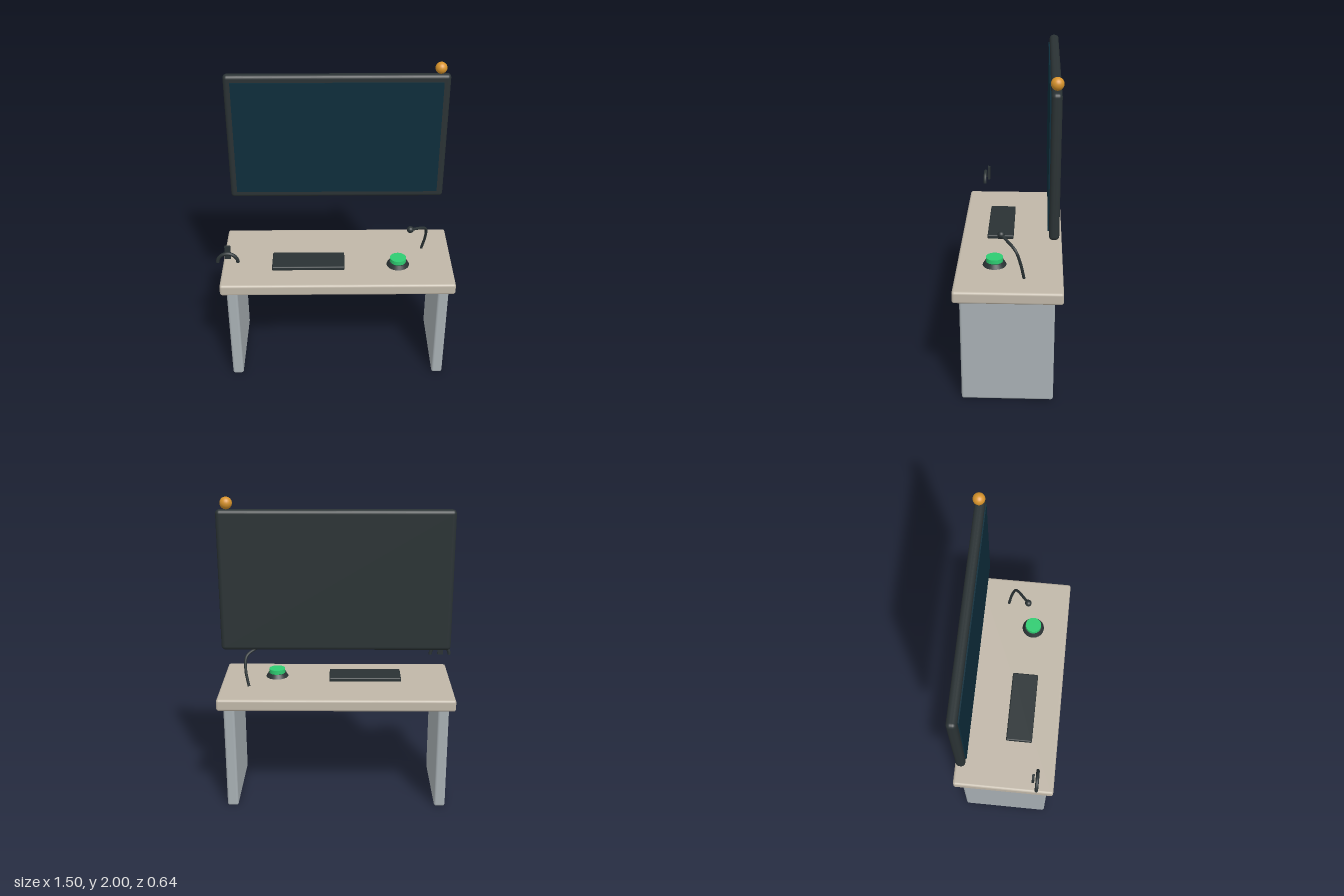
import * as THREE from 'three';
import { RoundedBoxGeometry } from 'three/addons/geometries/RoundedBoxGeometry.js';

const material = (name, color) => {
  const m = new THREE.MeshStandardMaterial({ color });
  m.name = name;
  return m;
};

export function createModel() {
  const group = new THREE.Group();
  const beige = material('beige top', 0xc0b7a8);
  const grey = material('grey panel', 0xa8b0b4);
  const dark = material('dark plastic', 0x2a3234);
  const navy = material('navy screen', 0x0d2d3b);
  const amber = material('amber lamp', 0xd6922b);
  const green = material('green button', 0x2ecc71);

  const add = (name, geometry, mat, x, y, z) => {
    const mesh = new THREE.Mesh(geometry, mat);
    mesh.name = name;
    mesh.position.set(x, y, z);
    group.add(mesh);
    return mesh;
  };
  const rounded = (w, h, d, r) => new RoundedBoxGeometry(w, h, d, 4, r);

  // Desk: top slab on two side panels
  add('deskTop', rounded(1.476, 0.076, 0.644, 0.016), beige, 0.008, 0.728, -0.002);
  for (const [name, side] of [['leftLeg', 1], ['rightLeg', -1]]) {
    add(name, rounded(0.07, 0.69, 0.556, 0.015), grey, 0.008 + side * 0.667, 0.349, 0.003);
  }

  // Floating display with a lamp on its upper left corner
  add('monitorFrame', rounded(1.384, 0.85, 0.058, 0.024), dark, 0.008, 1.503, -0.26);
  add('screen', new THREE.BoxGeometry(1.3, 0.76, 0.009), navy, 0.008, 1.503, -0.2285);
  add('statusLamp', new THREE.SphereGeometry(0.036, 24, 16), amber, 0.637, 1.964, -0.262);

  // Keyboard
  add('keyboard', rounded(0.463, 0.028, 0.168, 0.008), dark, -0.178, 0.777, 0.07);

  // Push button on a tapered base
  add('buttonBase', new THREE.CylinderGeometry(0.058, 0.074, 0.028, 32), dark, 0.397, 0.777, 0.09);
  add('buttonCap', new THREE.CylinderGeometry(0.052, 0.052, 0.03, 32), green, 0.397, 0.803, 0.09);

  // Gooseneck microphone
  const neck = new THREE.CatmullRomCurve3([
    [0.565, 0.766, -0.092], [0.584, 0.87, -0.072], [0.577, 0.952, -0.042], [0.47, 1.002, 0.046],
  ].map((p) => new THREE.Vector3(...p)));
  add('microphoneNeck', new THREE.TubeGeometry(neck, 32, 0.009, 10), dark, 0, 0, 0);
  add('microphoneHead', new THREE.SphereGeometry(0.022, 20, 14), dark, 0.47, 1.002, 0.046);

  // Headset hook: half ring with a short bracket behind it
  const hook = add('hookArch', new THREE.TorusGeometry(0.063, 0.011, 12, 28, Math.PI), dark, -0.677, 0.874, 0.21);
  for (const side of [1, -1]) {
    const cap = new THREE.Mesh(new THREE.CircleGeometry(0.011, 12).rotateX(Math.PI / 2), dark);
    cap.name = 'hookEnd';
    cap.position.x = side * 0.063;
    hook.add(cap);
  }
  add('hookBracket', new THREE.BoxGeometry(0.036, 0.09, 0.016), dark, -0.677, 0.93, 0.184);

  return group;
}
